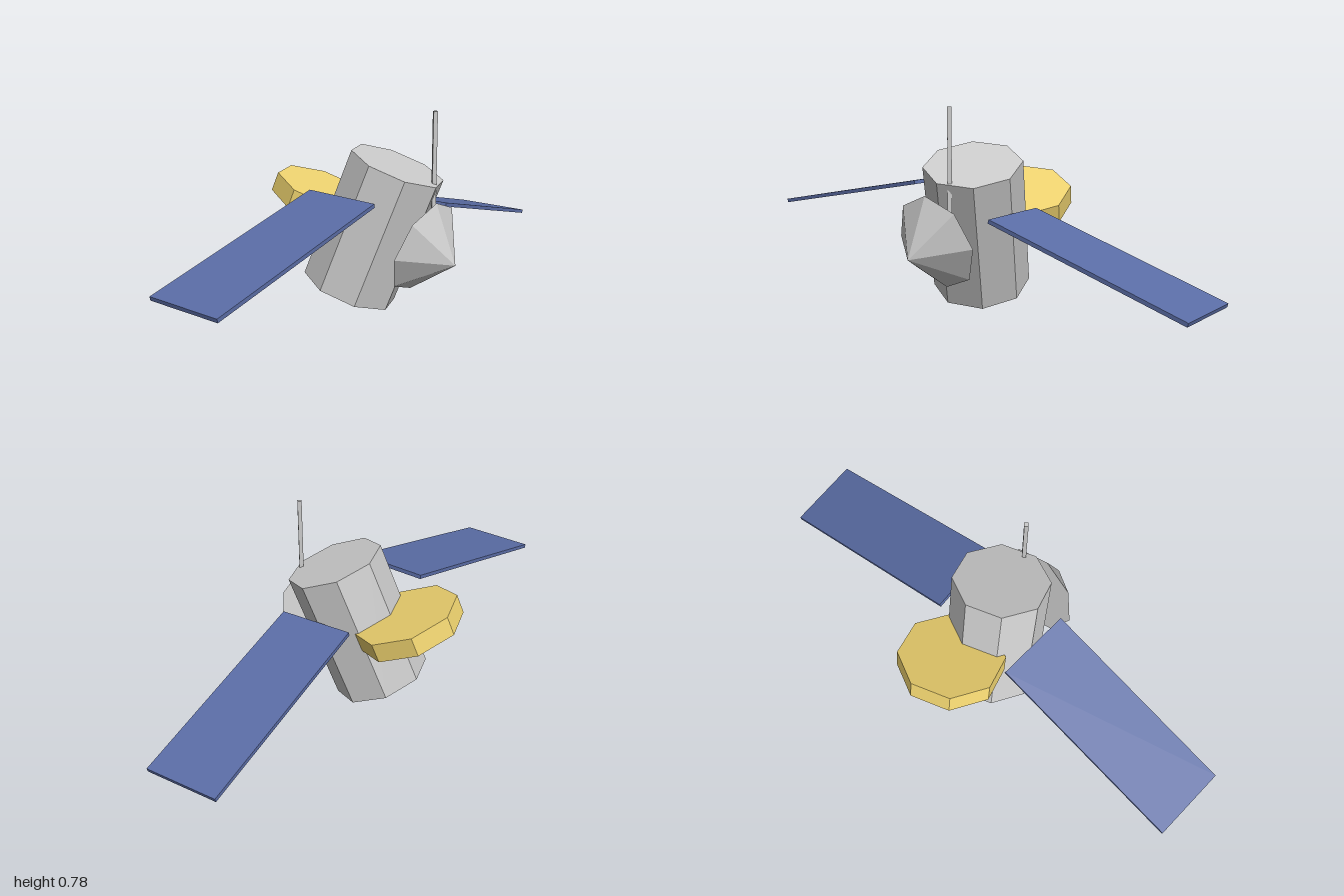
import * as THREE from 'three';

const GREY = 0xcccccc, BLUE = 0x5b6da6, GOLD = 0xf0d470;

export function createModel() {
  const model = new THREE.Group();
  model.name = 'satellite';

  // Adds a flat-shaded part at a position with a rotation
  function part(name, geometry, color, position, rotation = [0, 0, 0]) {
    const material = new THREE.MeshStandardMaterial({ color, flatShading: true });
    const mesh = new THREE.Mesh(geometry, material);
    mesh.name = name;
    mesh.position.set(...position);
    mesh.rotation.set(...rotation);
    model.add(mesh);
    return mesh;
  }

  // Leaning octagonal hull and the disc parallel to it at the back
  const lean = [0.3, 0, -0.2, 'ZYX'];
  part('body', new THREE.CylinderGeometry(0.187, 0.187, 0.523, 8), GREY, [-0.004, 0.309, 0.041], lean);
  part('rearDisc', new THREE.CylinderGeometry(0.205, 0.205, 0.075, 8), GOLD, [-0.001, 0.384, -0.201], lean);

  // Cone dish pointing forward and slightly down
  part('dish', new THREE.ConeGeometry(0.187, 0.149, 8), GREY, [0, 0.253, 0.339], [Math.PI / 2 + 0.3, 0, 0]);

  // Upright rod antenna
  part('antenna', new THREE.CylinderGeometry(0.011, 0.011, 0.448, 4), GREY, [0.07, 0.552, 0.265]);

  // Solar panels, each drooping at its own angle
  const panel = new THREE.BoxGeometry(0.82, 0.015, 0.298);
  part('leftSolarPanel', panel, BLUE, [0.595, 0.254, 0.038], [0, 0.1, -0.3]);
  part('rightSolarPanel', panel, BLUE, [-0.598, 0.387, 0.038], [0, 0, 0.2]);

  return model;
}
